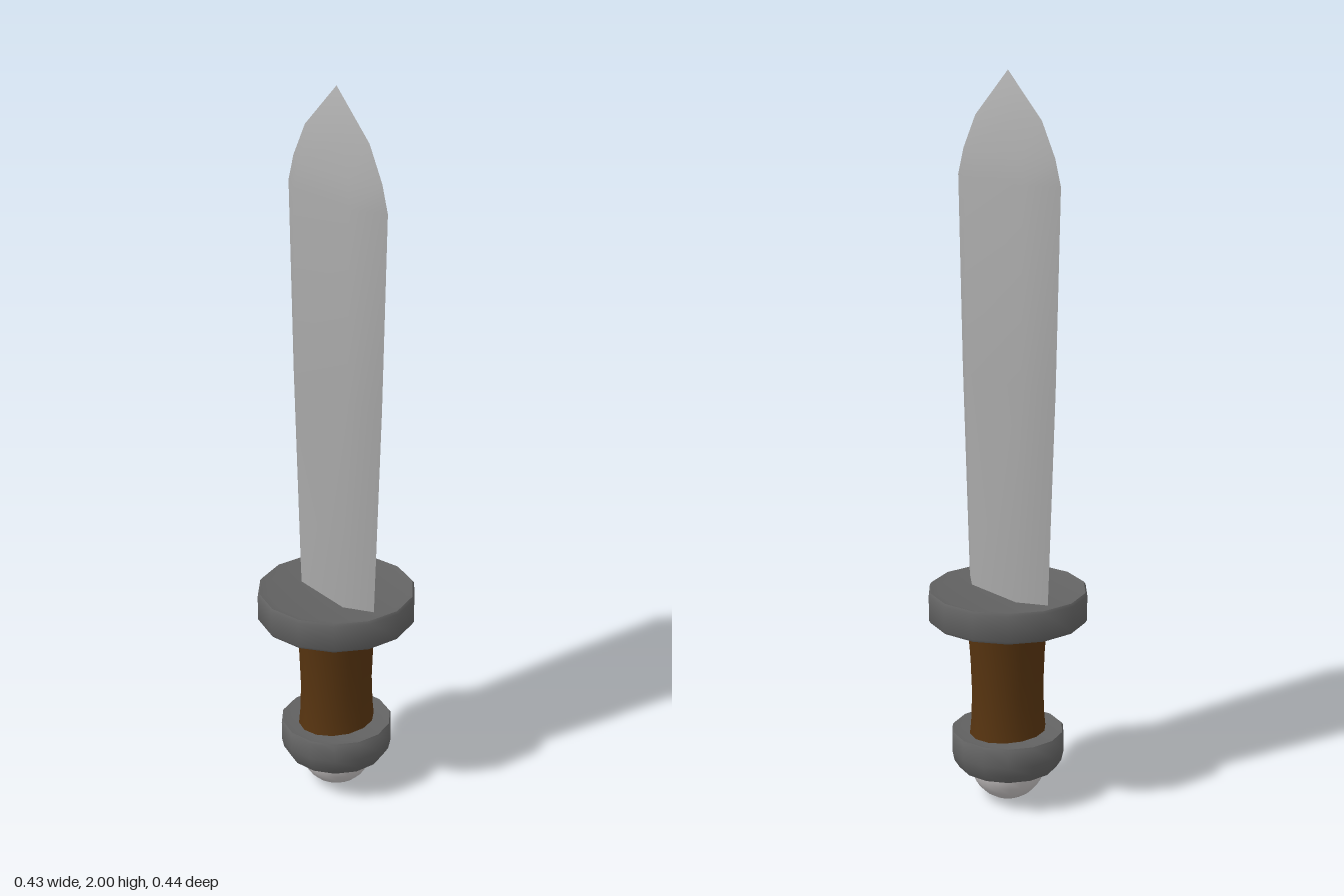
import * as THREE from 'three';
import { toCreasedNormals } from 'three/addons/utils/BufferGeometryUtils.js';

const paint = (name, color) => {
  const m = new THREE.MeshStandardMaterial({ color });
  m.name = name;
  return m;
};

// Turned part from [radius, height] pairs, listed bottom to top
function turned(profile, sides, crease) {
  const points = profile.map(([r, y]) => new THREE.Vector2(r, y));
  return toCreasedNormals(new THREE.LatheGeometry(points, sides), crease);
}

// Blade with a six-sided section: two flats, four bevels, two cutting edges
function bladeGeometry() {
  // [height, half width, half width of the flat, half thickness]
  const rings = [
    [0.59, 0.168, 0.095, 0.05],
    [1.2, 0.195, 0.115, 0.05],
    [1.72, 0.21, 0.12, 0.05],
    [1.79, 0.187, 0.105, 0.043],
    [1.88, 0.135, 0.07, 0.032],
    [2.0, 0, 0, 0],
  ];
  const positions = [];
  const index = [];
  for (const [y, w, f, t] of rings) {
    positions.push(w, y, 0, f, y, -t, -f, y, -t, -w, y, 0, -f, y, t, f, y, t);
  }
  for (let r = 0; r < rings.length - 1; r++) {
    for (let i = 0; i < 6; i++) {
      const a = r * 6 + i;
      const b = r * 6 + ((i + 1) % 6);
      index.push(a, b, b + 6);
      if (r < rings.length - 2) index.push(a, b + 6, a + 6);
    }
  }
  // Closed underside
  for (let i = 1; i < 5; i++) index.push(0, i + 1, i);
  const g = new THREE.BufferGeometry();
  g.setAttribute('position', new THREE.Float32BufferAttribute(positions, 3));
  g.setIndex(index);
  return toCreasedNormals(g, 1.0);
}

export function createModel() {
  const steel = paint('blade steel', 0xa9a9a9);
  const iron = paint('dark iron', 0x626262);
  const wood = paint('brown grip', 0x573410);
  const silver = paint('pale pommel metal', 0xc4c0c0);

  const model = new THREE.Group();
  model.name = 'shortSword';
  const add = (name, geometry, material) => {
    const mesh = new THREE.Mesh(geometry, material);
    mesh.name = name;
    model.add(mesh);
    return mesh;
  };

  add('blade', bladeGeometry(), steel);

  // Round guard with a shallow raised rim
  add('guard', turned([
    [0, 0.53], [0.215, 0.53], [0.22, 0.538], [0.22, 0.608],
    [0.215, 0.615], [0.193, 0.609], [0, 0.609],
  ], 14, 0.9), iron);

  // Waisted grip, oval in section
  const grip = add('grip', turned([
    [0.115, 0.18], [0.109, 0.24], [0.106, 0.32], [0.11, 0.42], [0.12, 0.54],
  ], 14, 0.9), wood);
  grip.scale.x = 0.84;

  // Collar rounded off at its lower edge
  add('pommelCollar', turned([
    [0, 0.1], [0.138, 0.1], [0.152, 0.122], [0.158, 0.15], [0.158, 0.2],
    [0.154, 0.205], [0.132, 0.2], [0, 0.2],
  ], 14, 0.9), iron);

  const ball = add('pommelBall', new THREE.SphereGeometry(0.105, 20, 14), silver);
  ball.position.y = 0.105;

  return model;
}
